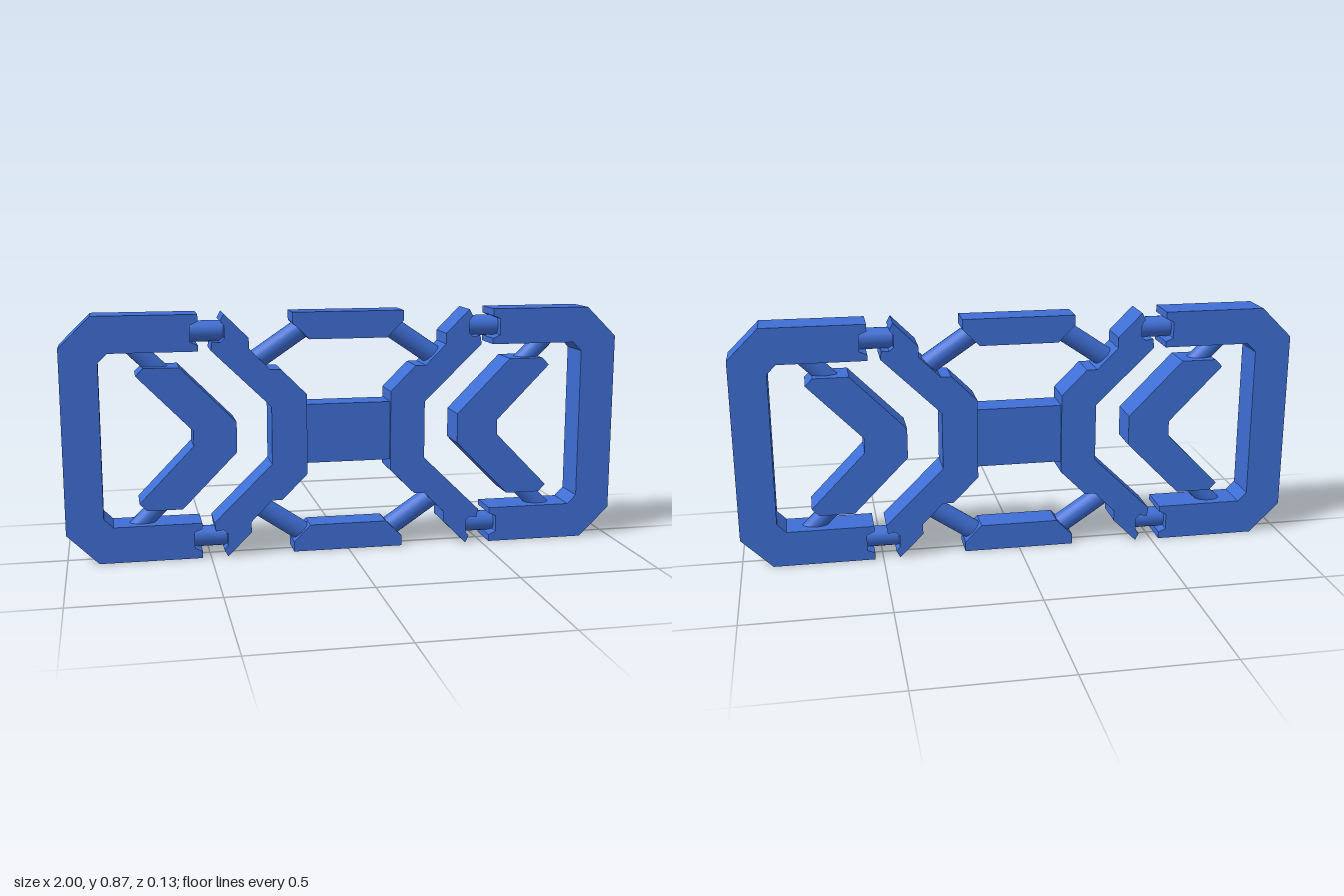
import * as THREE from 'three';

const MID = 0.433; // height of the horizontal symmetry line

// Half outline (offsets above MID) closed by its own reflection below.
const closeOutline = (half) => [...half, ...half.map(([x, y]) => [x, -y]).reverse()];

// Flat plate from an outline, centred on z = 0; sx and sy mirror it.
function plate(name, outline, depth, material, sx = 1, sy = 1) {
  const shape = new THREE.Shape(outline.map(([x, y]) => new THREE.Vector2(x * sx, y * sy)));
  const geometry = new THREE.ExtrudeGeometry(shape, { depth, bevelEnabled: false });
  geometry.translate(0, MID, -depth / 2);
  const mesh = new THREE.Mesh(geometry, material);
  mesh.name = name;
  return mesh;
}

// Round rod between two points in the z = 0 plane.
function rod(name, a, b, radius, material, sx, sy) {
  const start = new THREE.Vector3(a[0] * sx, MID + a[1] * sy, 0);
  const end = new THREE.Vector3(b[0] * sx, MID + b[1] * sy, 0);
  const dir = end.clone().sub(start);
  const mesh = new THREE.Mesh(new THREE.CylinderGeometry(radius, radius, dir.length(), 20), material);
  mesh.position.copy(start).add(end).multiplyScalar(0.5);
  mesh.quaternion.setFromUnitVectors(new THREE.Vector3(0, 1, 0), dir.normalize());
  mesh.name = name;
  return mesh;
}

export function createModel() {
  const group = new THREE.Group();
  group.name = 'linkedFrame';
  const blue = new THREE.MeshStandardMaterial({ color: 0x3f6fd6 });
  blue.name = 'blue';

  // C-shaped end frame with a notch at each tip for the joint rod
  const frame = closeOutline([
    [0.87, 0.273], [0.838, 0.305], [0.53, 0.305], [0.53, 0.326], [0.557, 0.338],
    [0.557, 0.396], [0.53, 0.408], [0.53, 0.433], [0.89, 0.433], [1, 0.325],
  ]);
  // The frame's half outline runs inside to outside, so close it in two separate loops
  const half = frame.slice(0, 10);
  const lower = half.map(([x, y]) => [x, -y]);
  const frameOutline = [...half, ...lower.slice().reverse()];

  // Inner bracket, splayed at top and bottom
  const bracket = closeOutline([
    [0.278, 0.103], [0.487, 0.307], [0.482, 0.338], [0.455, 0.334], [0.44, 0.348],
    [0.44, 0.392], [0.453, 0.408], [0.44, 0.433], [0.355, 0.348], [0.355, 0.31],
    [0.28, 0.235], [0.243, 0.235], [0.152, 0.144],
  ]);

  // Chevron with its point towards the centre
  const chevron = closeOutline([
    [0.553, 0.027], [0.746, 0.225], [0.72, 0.251], [0.596, 0.251], [0.402, 0.054],
  ]);

  for (const sx of [1, -1]) {
    const side = sx > 0 ? 'left' : 'right';
    group.add(plate(side + 'EndFrame', frameOutline, 0.13, blue, sx));
    group.add(plate(side + 'Bracket', bracket, 0.13, blue, sx));
    group.add(plate(side + 'Chevron', chevron, 0.13, blue, sx));
    for (const sy of [1, -1]) {
      const at = side + (sy > 0 ? 'Upper' : 'Lower');
      group.add(rod(at + 'JointRod', [0.43, 0.369], [0.57, 0.369], 0.037, blue, sx, sy));
      group.add(rod(at + 'ChevronRod', [0.65, 0.222], [0.765, 0.335], 0.033, blue, sx, sy));
      group.add(rod(at + 'DiagonalRod', [0.165, 0.37], [0.325, 0.262], 0.037, blue, sx, sy));
    }
  }

  // Top and bottom bars with chamfered inner corners
  const bar = [[-0.2, 0.433], [0.2, 0.433], [0.2, 0.397], [0.14, 0.337], [-0.14, 0.337], [-0.2, 0.397]];
  group.add(plate('topBar', bar, 0.106, blue));
  group.add(plate('bottomBar', bar, 0.106, blue, 1, -1));

  // Central block joining the brackets
  const core = new THREE.Mesh(new THREE.BoxGeometry(0.36, 0.212, 0.106), blue);
  core.position.y = MID;
  core.name = 'centreBlock';
  group.add(core);

  return group;
}
